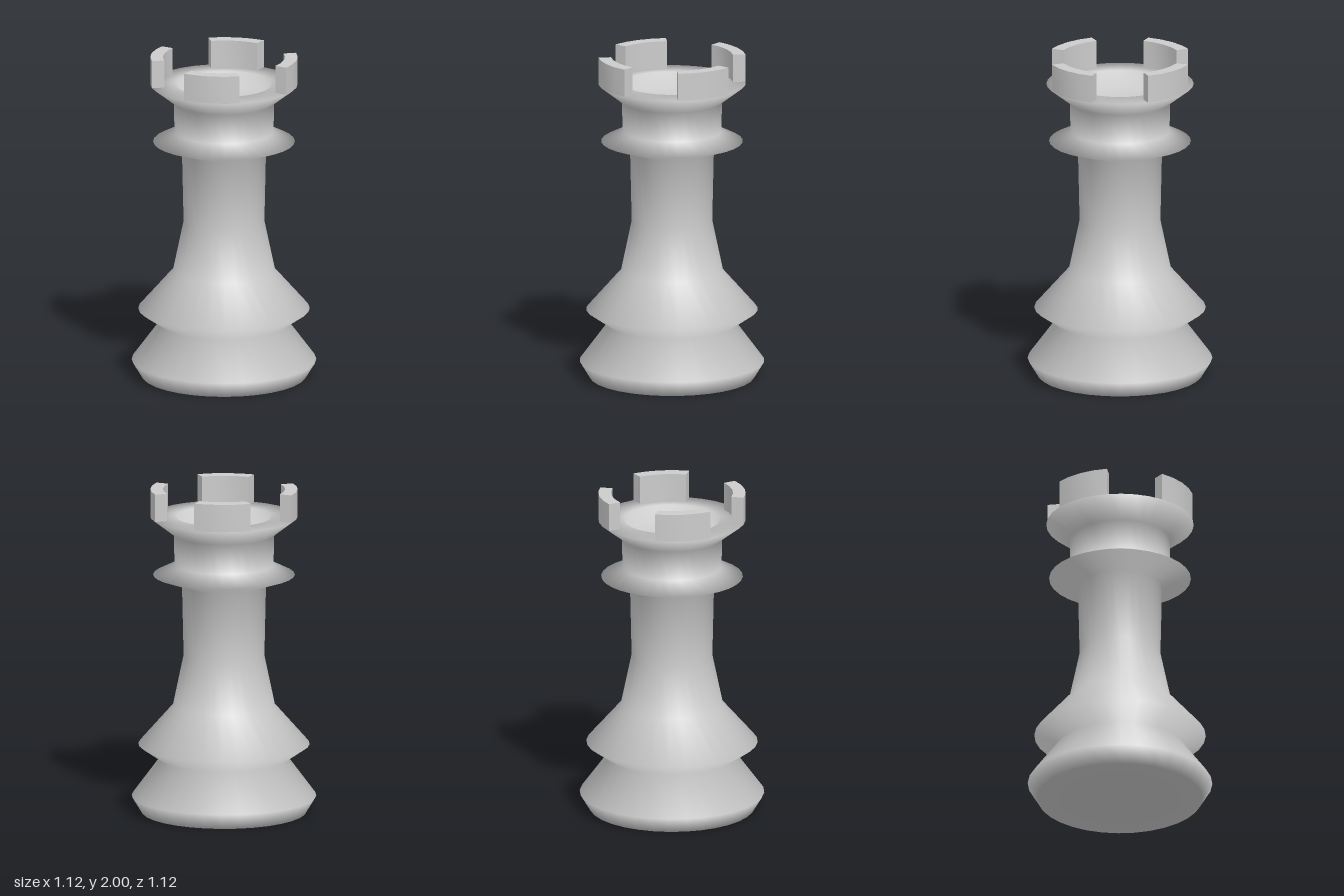
import * as THREE from 'three';
import { toCreasedNormals } from 'three/addons/utils/BufferGeometryUtils.js';

const SIDES = 32;

// Curved crenel block: a ring sector of `span` radians centred on +x, standing on y = 0
function merlonGeometry(inner, outer, height, span) {
  const steps = 4;
  const points = [];
  const addArc = (radius, from, to) => {
    for (let i = 0; i <= steps; i++) {
      const a = from + (to - from) * (i / steps);
      points.push(new THREE.Vector2(Math.cos(a) * radius, Math.sin(a) * radius));
    }
  };
  addArc(outer, -span / 2, span / 2);
  addArc(inner, span / 2, -span / 2);
  const geometry = new THREE.ExtrudeGeometry(new THREE.Shape(points), { depth: height, bevelEnabled: false });
  geometry.rotateX(-Math.PI / 2);
  return toCreasedNormals(geometry, 0.6);
}

export function createModel() {
  const model = new THREE.Group();
  model.name = 'rook';
  const material = new THREE.MeshStandardMaterial({ color: 0xcccccc });

  // Turned body: base, foot ring, shaft, collar, flared crown and its recess
  const profile = [
    [0, 0], [0.5, 0], [0.56, 0.1],
    [0.39, 0.33], [0.52, 0.42],
    [0.31, 0.66], [0.245, 0.97], [0.255, 1.41],
    [0.43, 1.47], [0.3, 1.535],
    [0.305, 1.72], [0.447, 1.83],
    [0.29, 1.83], [0.29, 1.73], [0, 1.73],
  ].map(([r, y]) => new THREE.Vector2(r, y));
  const body = new THREE.Mesh(new THREE.LatheGeometry(profile, SIDES), material);
  body.name = 'body';
  model.add(body);

  // Four merlons on the rim
  const battlements = new THREE.Group();
  battlements.name = 'battlements';
  const geometry = merlonGeometry(0.37, 0.447, 0.17, Math.PI / 4);
  for (let i = 0; i < 4; i++) {
    const merlon = new THREE.Mesh(geometry, material);
    merlon.name = 'merlon';
    merlon.position.y = 1.83;
    merlon.rotation.y = (i * Math.PI) / 2;
    battlements.add(merlon);
  }
  model.add(battlements);

  return model;
}
